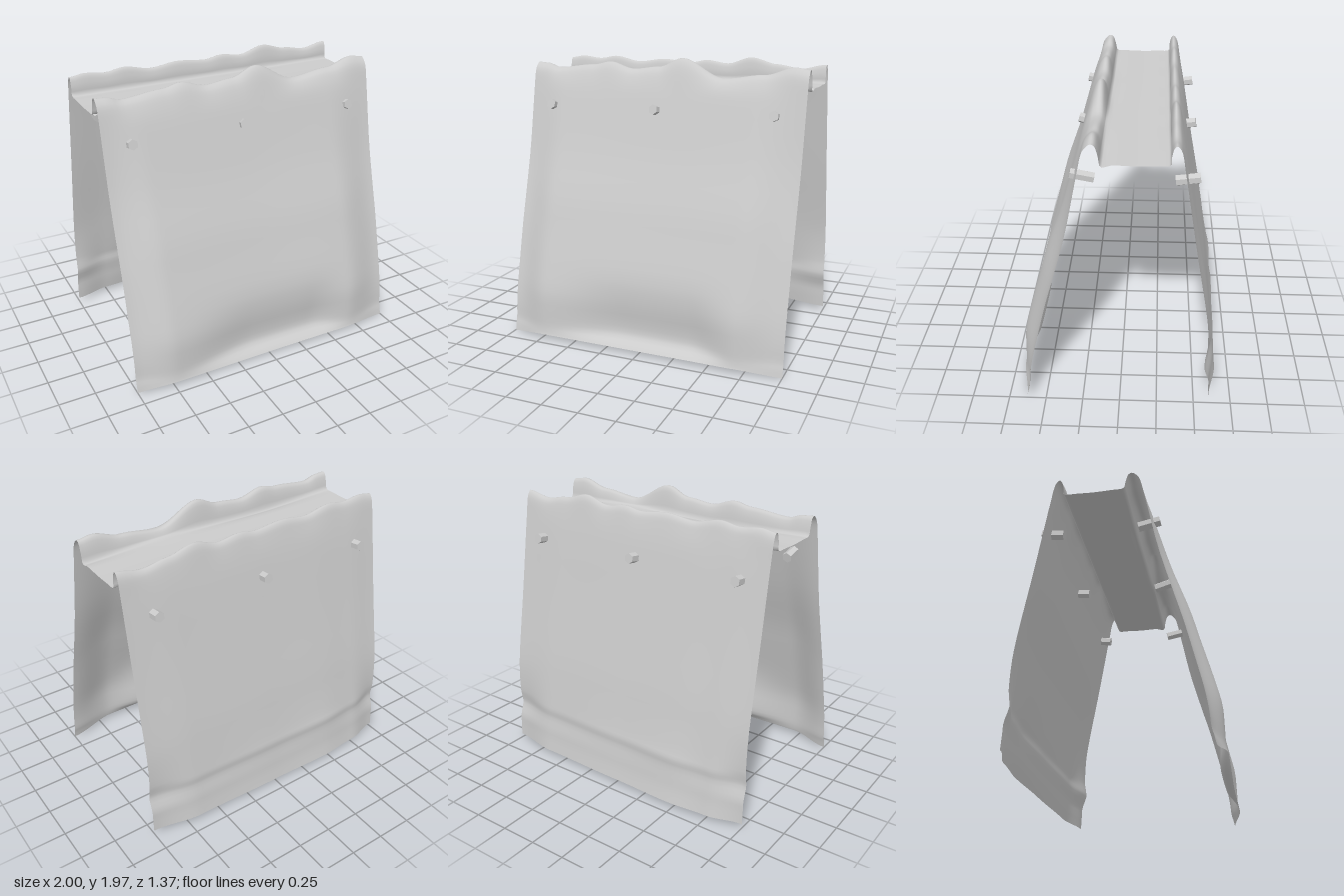
import * as THREE from 'three';

const COLUMNS = 64, ROWS = 96;

// [x, value] stations, blended smoothly
function along(stations, x) {
  for (let i = 1; i < stations.length; i++) {
    const [x0, a] = stations[i - 1], [x1, b] = stations[i];
    if (x <= x1) return THREE.MathUtils.lerp(a, b, THREE.MathUtils.smoothstep(x, x0, x1));
  }
  return stations[stations.length - 1][1];
}

// Wavy heights of the two ridges
const frontRidge = [[-1, 1.91], [-0.92, 1.905], [-0.83, 1.878], [-0.55, 1.905], [-0.42, 1.93], [-0.24, 1.885],
  [-0.05, 1.905], [0.12, 1.968], [0.42, 1.842], [0.7, 1.875], [0.9, 1.93], [1, 1.915]];
const backRidge = [[-1, 1.91], [-0.9, 1.925], [-0.75, 1.91], [-0.62, 1.93], [-0.42, 1.895], [-0.22, 1.918],
  [0, 1.9], [0.12, 1.92], [0.28, 1.9], [0.46, 1.948], [0.65, 1.905], [0.82, 1.88], [1, 1.912]];
// How far each panel bows outwards, and the hollow near the front hem
const frontBow = [[-1, 0], [-0.72, 0.95], [0, 0.85], [0.65, 1], [1, 0]];
const backBow = [[-1, 0.1], [-0.75, 0.75], [-0.45, 1], [0, 0.85], [0.65, 0.65], [1, 0]];
const hollow = [[-0.75, 0], [-0.1, 1], [0.35, 1], [0.7, 0]];

// Panel rows: [y, z at the side edges, z where fully bowed]
const frontRows = [[0.05, 0.62, 0.68], [0.1, 0.607, 0.674], [0.2, 0.598, 0.672], [0.34, 0.575, 0.665],
  [0.52, 0.533, 0.622], [0.78, 0.47, 0.55], [1, 0.408, 0.49], [1.3, 0.327, 0.385], [1.6, 0.265, 0.297], [1.75, 0.235, 0.252]];
const backRows = [[1.75, 0.385, 0.395], [1.6, 0.41, 0.425], [1.2, 0.475, 0.495], [0.8, 0.545, 0.57], [0.6, 0.572, 0.602],
  [0.42, 0.577, 0.637], [0.35, 0.568, 0.655], [0.29, 0.563, 0.652], [0.2, 0.592, 0.662], [0.12, 0.596, 0.672], [0.03, 0.6, 0.69]];
// Ridge rows: [z, fraction of the height above the trough]
const frontRidgeRows = [[0.212, 0.5], [0.185, 0.85], [0.158, 1], [0.132, 0.87], [0.115, 0.4]];
const backRidgeRows = [[-0.303, 0.4], [-0.315, 0.85], [-0.334, 1], [-0.355, 0.82], [-0.37, 0.45]];

function section(x) {
  const f = along(frontBow, x), b = along(backBow, x), h = along(hollow, x);
  const ridge = (rows, top) => rows.map(([z, t]) => [z, 1.79 + (top - 1.79) * t]);
  const dent = [0.015, 0.06, 0.06, 0.035];
  const points = [
    [0.63 + 0.055 * f, 0.03 * Math.min(1, f * 1.05)],
    ...frontRows.map(([y, e, m], i) => [THREE.MathUtils.lerp(e, m, f) - h * (dent[i] || 0), y]),
    ...ridge(frontRidgeRows, along(frontRidge, x)),
    [0.1, 1.782 + 0.012 * Math.sin(4 * x)], [0.03, 1.787], [-0.1, 1.783], [-0.22, 1.787], [-0.297, 1.79],
    ...ridge(backRidgeRows, along(backRidge, x)),
    ...backRows.map(([y, e, m]) => [-THREE.MathUtils.lerp(e, m, b), y]),
  ];
  return new THREE.SplineCurve(points.map(([z, y]) => new THREE.Vector2(z, y)));
}

// One continuous sheet, lofted through the sections from side to side
function sheetGeometry() {
  const positions = [], indices = [];
  for (let c = 0; c <= COLUMNS; c++) {
    const x = -1 + 2 * c / COLUMNS;
    for (const p of section(x).getPoints(ROWS)) positions.push(x, p.y, p.x);
  }
  for (let c = 0; c < COLUMNS; c++) {
    for (let r = 0; r < ROWS; r++) {
      const a = c * (ROWS + 1) + r, d = a + ROWS + 1;
      indices.push(a, d, a + 1, d, d + 1, a + 1);
    }
  }
  const geometry = new THREE.BufferGeometry();
  geometry.setAttribute('position', new THREE.Float32BufferAttribute(positions, 3));
  geometry.setIndex(indices);
  geometry.computeVertexNormals();
  return geometry;
}

export function createModel() {
  const model = new THREE.Group();
  const sheet = new THREE.Mesh(sheetGeometry(),
    new THREE.MeshStandardMaterial({ color: 0xcccccc, side: THREE.DoubleSide }));
  sheet.name = 'drapedSheet';
  model.add(sheet);

  // Six-sided pegs through each panel
  const pegMaterial = new THREE.MeshStandardMaterial({ color: 0xcccccc, flatShading: true });
  const pegGeometry = new THREE.CylinderGeometry(0.035, 0.035, 0.15, 6);
  const addPeg = (name, x, y, z, tilt, yaw) => {
    const peg = new THREE.Mesh(pegGeometry, pegMaterial);
    peg.name = name;
    peg.position.set(x, y, z);
    const direction = new THREE.Vector3(yaw, tilt, Math.sign(z)).normalize();
    peg.quaternion.setFromUnitVectors(new THREE.Vector3(0, 1, 0), direction);
    model.add(peg);
  };
  [[-0.82, 0], [-0.02, -0.15], [0.8, 0.05]].forEach(([x, yaw], i) => {
    addPeg('frontPeg' + i, x, 1.615, i === 2 ? 0.23 : 0.245, 0.22, yaw);
    addPeg('backPeg' + i, x + 0.005, 1.605, -0.41, 0.13, -yaw * 0.3);
  });
  return model;
}
